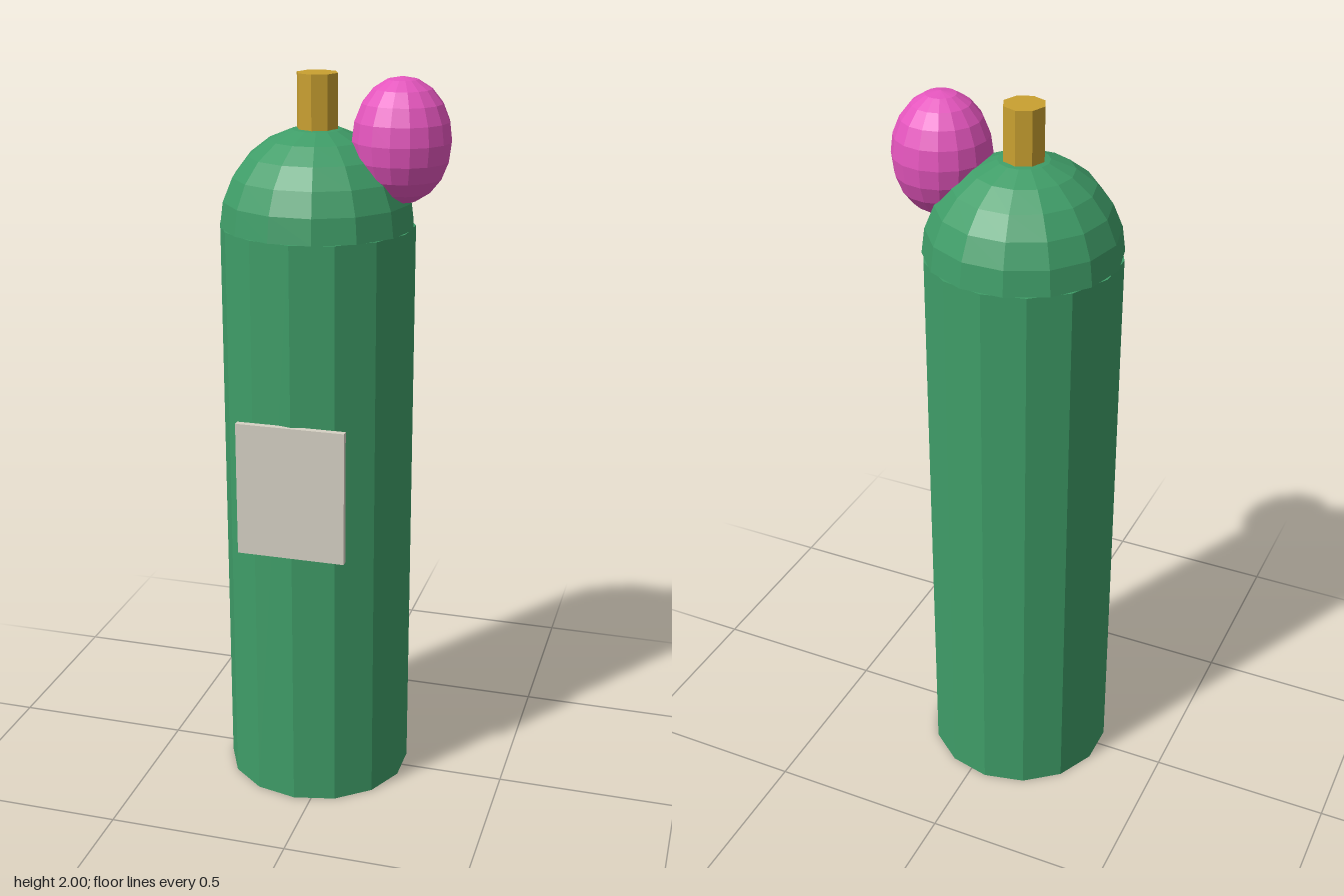
import * as THREE from 'three';

export function createModel() {
  const model = new THREE.Group();

  // Adds one flat-shaded coloured part to a parent
  const add = (name, geometry, color, parent, x, y, z) => {
    const material = new THREE.MeshStandardMaterial({ color, flatShading: true });
    const mesh = new THREE.Mesh(geometry, material);
    mesh.name = name;
    mesh.position.set(x, y, z);
    parent.add(mesh);
    return mesh;
  };

  const GREEN = 0x3f9d68;
  const R = 0.26, H = 1.605, SIDES = 14;

  // Tank, offset so the whole model is centred
  const tank = new THREE.Group();
  tank.name = 'tank';
  tank.position.set(-0.048, 0, -0.005);
  model.add(tank);

  add('body', new THREE.CylinderGeometry(R, R, H, SIDES), GREEN, tank, 0, H / 2, 0);
  add('dome', new THREE.SphereGeometry(R, SIDES, 6, 0, Math.PI * 2, 0, Math.PI / 2), GREEN, tank, 0, H, 0);
  add('valve', new THREE.CylinderGeometry(0.055, 0.055, 0.16, 8), 0xc9a030, tank, 0, 1.92, 0);

  // Thin plate on the front
  add('label', new THREE.BoxGeometry(0.297, 0.37, 0.018), 0xd6d1c4, tank, 0, 0.936, 0.261);

  // Balloon resting against the dome
  const balloon = add('balloon', new THREE.SphereGeometry(0.13, 16, 10), 0xe455bd, model, 0.178, 1.836, -0.005);
  balloon.scale.y = 1.25;

  return model;
}
